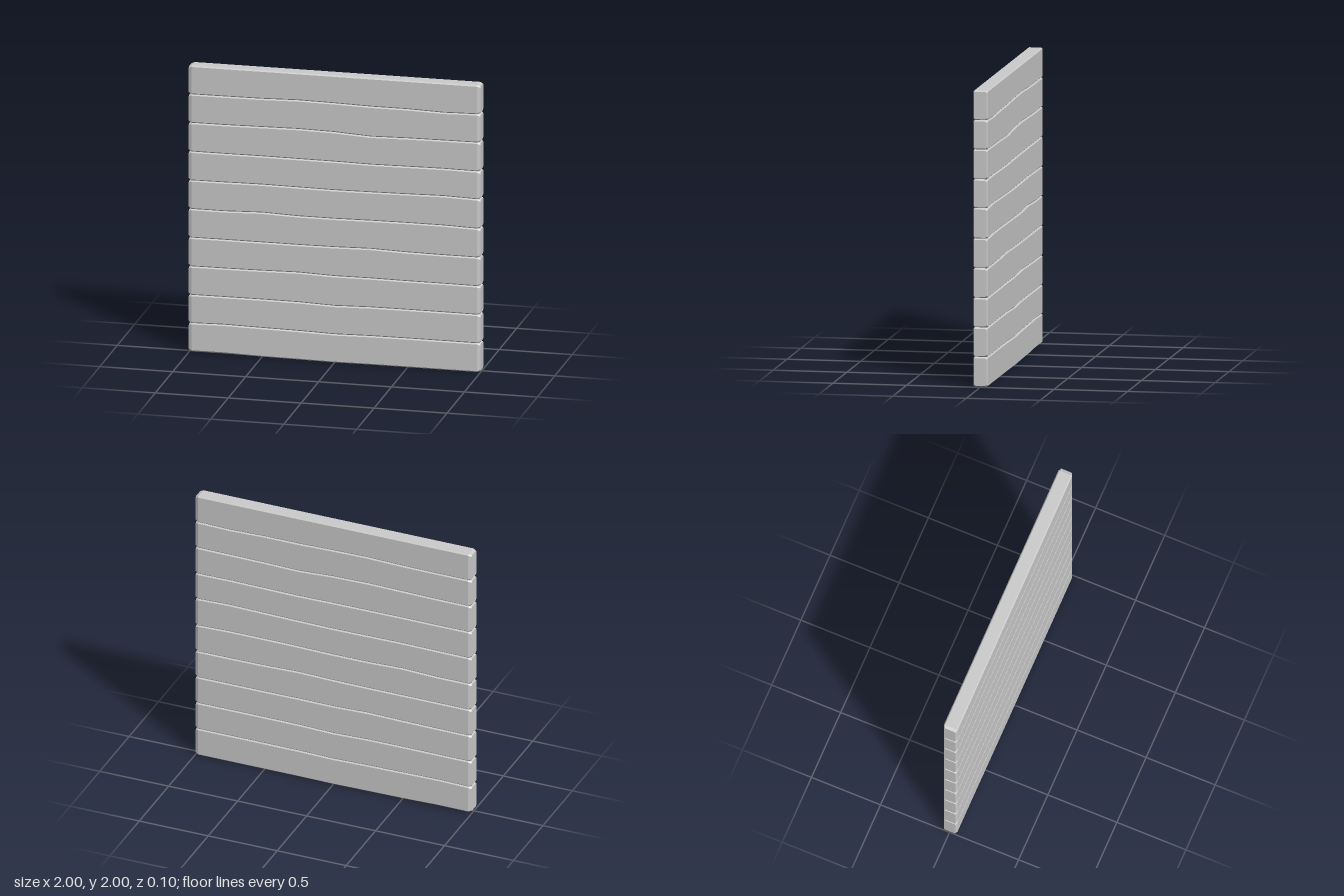
import * as THREE from 'three';
import { toCreasedNormals } from 'three/addons/utils/BufferGeometryUtils.js';

const HALF = 0.05; // half thickness of the wall
const BEVEL = 0.008;
const END = 0.02; // length of the eased plank ends

// Height wobble of each joint, in hundredths, at nine even steps along x
const JOINTS = [
  [1, 1.1, 0.5, 0.3, 0, 0.2, 0.2, 0.2, 0.2],
  [0.5, 1, 0.6, 0.3, -0.3, 0.2, 0.3, 0.3, 0.3],
  [0.2, 0.3, 0.4, 0.3, -0.5, 0.2, 0.3, 0.3, 0.2],
  [0.1, 0.2, 0.5, 1, 0.2, 0.4, 0.2, 0.2, 0.1],
  [0.1, 0.2, 0.2, 0.2, 0.4, 1, 0.3, 0.1, 0.1],
  [0.1, 0.1, 1, 0.2, 0.2, 0.6, 0.8, 0.8, 0.1],
  [0, 0.2, 0.5, 0.3, 0.1, 0.4, 0.8, 1.3, 0.6],
  [0.1, 0.1, 0.2, 0.1, 0, -0.3, 0, 0.3, 0.1],
  [0.1, 0.2, 0.6, 1, 0.6, -0.8, -0.2, 0, 0.2],
  [0, 0.1, 0.3, 1, 0.7, 0.1, 0.1, -0.6, 0],
  [0, 0, 0, 0, 0, 0, 0, 0, 0],
];

function jointHeight(row, x) {
  const s = (x + 1) * 4;
  const i = Math.min(7, Math.floor(s));
  return row * 0.2 + 0.01 * THREE.MathUtils.lerp(JOINTS[row][i], JOINTS[row][i + 1], s - i);
}

// Bevelled plank lofted along x between two wavy joints
function plankGeometry(row) {
  const xs = [-1, -1 + END, -0.75, -0.5, -0.25, 0, 0.25, 0.5, 0.75, 1 - END, 1];
  const pos = [], index = [], n = 8, last = xs.length - 1;
  xs.forEach((x, i) => {
    const inset = i === 0 || i === last ? BEVEL : 0;
    const lo = jointHeight(row, x) + inset;
    const hi = jointHeight(row + 1, x) - inset;
    const t = HALF - inset, c = BEVEL;
    const ring = [
      [hi, t - c], [hi - c, t], [lo + c, t], [lo, t - c],
      [lo, c - t], [lo + c, -t], [hi - c, -t], [hi, c - t],
    ];
    ring.forEach(([y, z]) => pos.push(x, y, z));
  });
  for (let i = 0; i < last; i++) {
    for (let j = 0; j < n; j++) {
      const a = i * n + j, b = i * n + (j + 1) % n;
      index.push(a, b, a + n, b, b + n, a + n);
    }
  }
  // End caps
  for (let j = 1; j < n - 1; j++) {
    const e = last * n;
    index.push(0, j + 1, j, e, e + j, e + j + 1);
  }
  const g = new THREE.BufferGeometry();
  g.setAttribute('position', new THREE.Float32BufferAttribute(pos, 3));
  g.setIndex(index);
  return toCreasedNormals(g, 0.35);
}

export function createModel() {
  const wall = new THREE.Group();
  wall.name = 'plankWall';
  const material = new THREE.MeshStandardMaterial({ color: 0xcccccc });
  for (let row = 0; row < 10; row++) {
    const plank = new THREE.Mesh(plankGeometry(row), material);
    plank.name = `plank${row + 1}`;
    wall.add(plank);
  }
  return wall;
}
